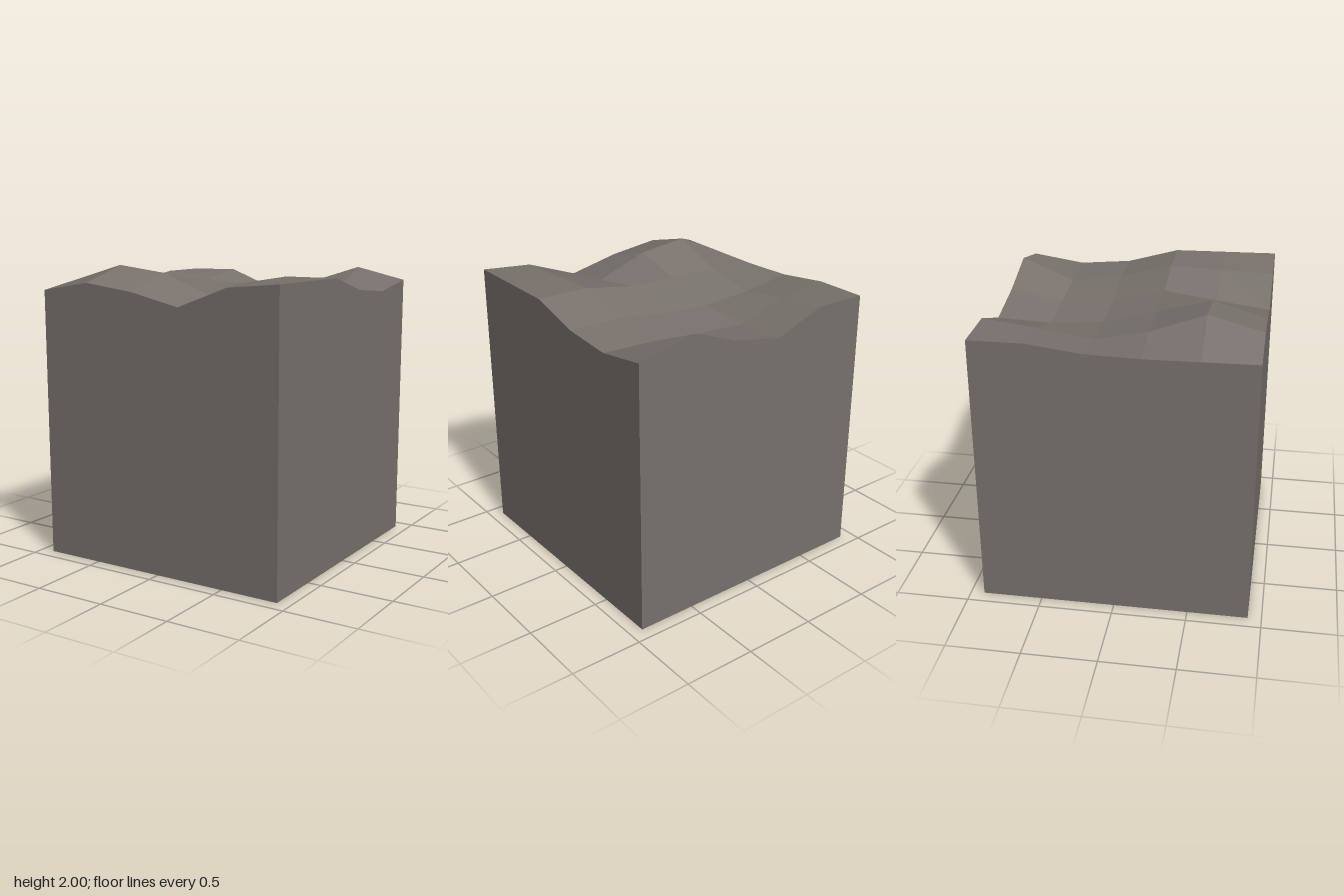
import * as THREE from 'three';

// Heights of the uneven top: rows run back to front, columns from -x to +x
const HEIGHTS = [
  [1.883, 1.89, 1.755, 1.83, 1.945, 1.865],
  [1.885, 1.845, 1.74, 1.76, 1.795, 1.81],
  [1.84, 1.79, 1.77, 1.79, 1.84, 1.843],
  [1.83, 1.865, 1.865, 1.88, 1.942, 1.945],
  [1.835, 2.0, 1.96, 1.83, 1.93, 1.95],
  [1.84, 1.903, 1.86, 1.782, 1.92, 1.955],
];
const HALF = 0.908;
const CELLS = 5;
const at = (i) => -HALF + (2 * HALF * i) / CELLS;
const top = (i, j) => new THREE.Vector3(at(i), HEIGHTS[j][i], at(j));
const foot = (i, j) => new THREE.Vector3(at(i), 0, at(j));

// Joins four-cornered facets, each with one even normal
function facetMesh(name, quads, material) {
  const positions = [];
  const normals = [];
  for (const [a, b, c, d] of quads) {
    const n = c.clone().sub(a).cross(d.clone().sub(b)).normalize();
    for (const p of [a, b, d, b, c, d]) {
      positions.push(p.x, p.y, p.z);
      normals.push(n.x, n.y, n.z);
    }
  }
  const geometry = new THREE.BufferGeometry();
  geometry.setAttribute('position', new THREE.Float32BufferAttribute(positions, 3));
  geometry.setAttribute('normal', new THREE.Float32BufferAttribute(normals, 3));
  const mesh = new THREE.Mesh(geometry, material);
  mesh.name = name;
  return mesh;
}

export function createModel() {
  const group = new THREE.Group();
  group.name = 'rockBlock';
  const stone = new THREE.MeshStandardMaterial({ color: 0x78716c, side: THREE.DoubleSide });
  stone.name = 'stone';

  // Rough upper surface
  const surface = [];
  for (let j = 0; j < CELLS; j++) {
    for (let i = 0; i < CELLS; i++) {
      surface.push([top(i, j), top(i, j + 1), top(i + 1, j + 1), top(i + 1, j)]);
    }
  }
  group.add(facetMesh('roughTop', surface, stone));

  // Four side walls, open underneath; each path runs left to right seen from outside
  const walls = {
    frontWall: (k) => [k, CELLS],
    rightWall: (k) => [CELLS, CELLS - k],
    backWall: (k) => [CELLS - k, 0],
    leftWall: (k) => [0, k],
  };
  for (const [name, path] of Object.entries(walls)) {
    const strips = [];
    for (let k = 0; k < CELLS; k++) {
      const p = path(k);
      const q = path(k + 1);
      strips.push([top(...p), foot(...p), foot(...q), top(...q)]);
    }
    group.add(facetMesh(name, strips, stone));
  }
  return group;
}
